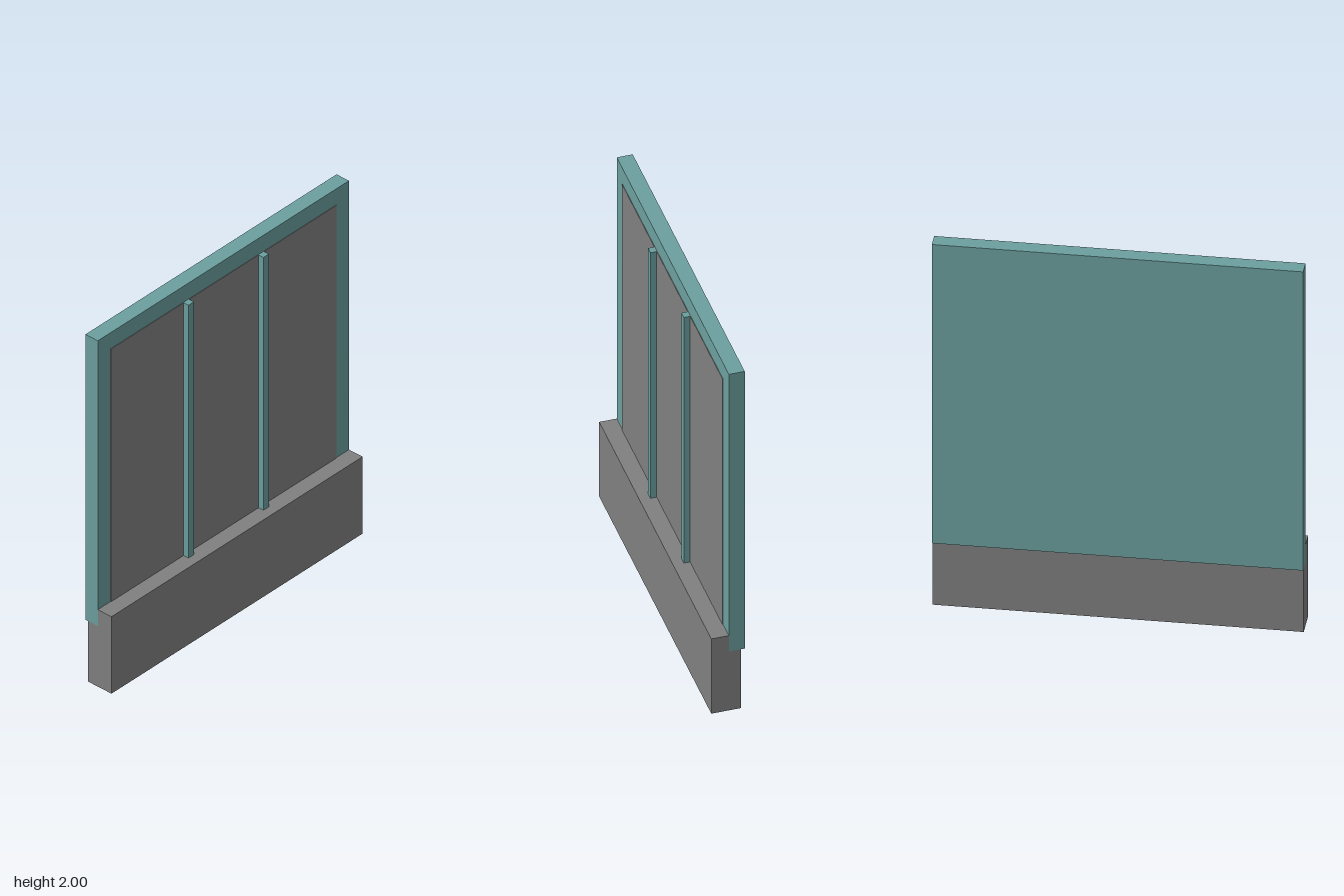
import * as THREE from 'three';

export function createModel() {
  const group = new THREE.Group();
  const teal = new THREE.MeshStandardMaterial({ name: 'teal frame', color: 0x6b9f9e });
  const grey = new THREE.MeshStandardMaterial({ name: 'grey', color: 0x808080 });
  const halfW = 0.888;

  // Box given by its lower and upper limits on each axis
  function box(name, material, [x0, x1], [y0, y1], [z0, z1]) {
    const mesh = new THREE.Mesh(new THREE.BoxGeometry(x1 - x0, y1 - y0, z1 - z0), material);
    mesh.position.set((x0 + x1) / 2, (y0 + y1) / 2, (z0 + z1) / 2);
    mesh.name = name;
    group.add(mesh);
  }

  // Plinth: side profile with a rebate at the back that seats the panel
  const profile = new THREE.Shape([
    [-0.083, 0], [0.065, 0], [0.065, 0.35], [0.004, 0.35], [0.004, 0.445], [-0.083, 0.445],
  ].map(([x, y]) => new THREE.Vector2(x, y)));
  const plinthGeometry = new THREE.ExtrudeGeometry(profile, { depth: 2 * halfW, bevelEnabled: false });
  plinthGeometry.translate(0, 0, -halfW).rotateY(Math.PI / 2);
  const plinth = new THREE.Mesh(plinthGeometry, grey);
  plinth.name = 'plinth';
  group.add(plinth);

  // Upright panel and the thin grey field on its front
  box('panel', teal, [-halfW, halfW], [0.35, 2], [-0.083, -0.004]);
  box('panelField', grey, [-0.797, 0.797], [0.445, 1.907], [-0.004, -0.001]);

  // Two vertical bars in front of the field
  for (const side of [-1, 1]) {
    const x = side * 0.265;
    box(side > 0 ? 'leftBar' : 'rightBar', teal, [x - 0.019, x + 0.019], [0.445, 1.907], [-0.004, 0.03]);
  }

  return group;
}
